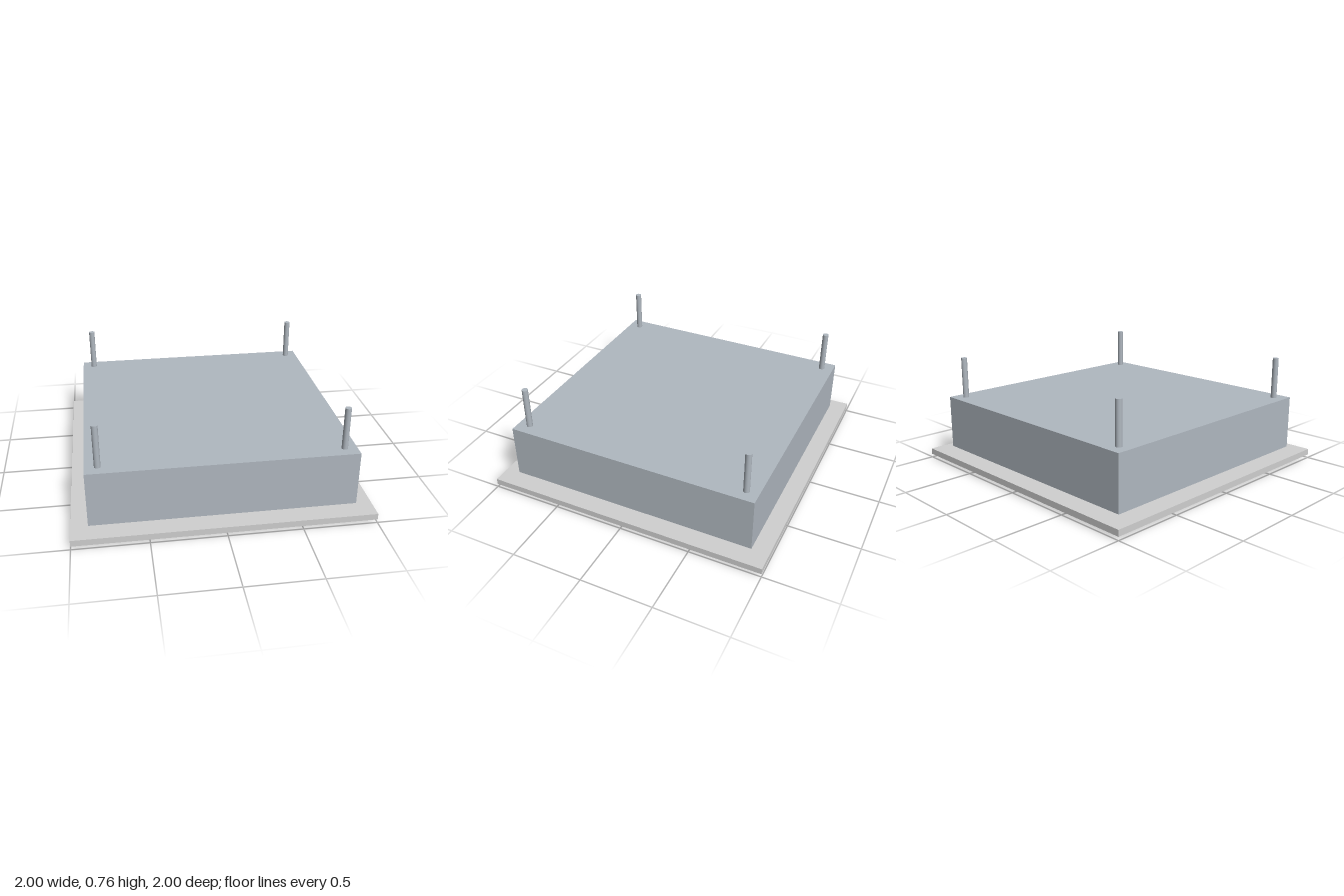
import * as THREE from 'three';

const mat = (name, color) => {
  const m = new THREE.MeshStandardMaterial({ color });
  m.name = name;
  return m;
};

export function createModel() {
  const group = new THREE.Group();
  const steel = mat('galvanised steel', 0xb0b8c0);
  const panelGrey = mat('panel grey', 0xd0d0d0);
  const dark = mat('dark grille', 0x62676f);
  const silver = mat('silver trim', 0xd8dce0);

  const add = (name, geometry, material, x, y, z) => {
    const mesh = new THREE.Mesh(geometry, material);
    mesh.name = name;
    mesh.position.set(x, y, z);
    group.add(mesh);
    return mesh;
  };

  // Ceiling housing and the wider face panel under it
  add('housing', new THREE.BoxGeometry(1.77, 0.38, 1.77), steel, 0, 0.278, 0);
  add('facePanel', new THREE.BoxGeometry(2, 0.043, 2), panelGrey, 0, 0.0455, 0);

  // Hanger rods at the four corners
  for (const x of [-0.8, 0.8]) {
    for (const z of [-0.8, 0.8]) {
      add('hangerRod', new THREE.CylinderGeometry(0.021, 0.021, 0.3, 24), steel, x, 0.612, z);
    }
  }

  // Fan base and inlet collar in the gap between housing and panel
  add('fanBase', new THREE.CylinderGeometry(0.69, 0.66, 0.012, 64), dark, 0, 0.084, 0);
  add('inletCollar', new THREE.CylinderGeometry(0.38, 0.38, 0.014, 64), dark, 0, 0.073, 0);

  // Round intake grille with two trim rings on the underside
  add('intakeGrille', new THREE.CylinderGeometry(0.505, 0.505, 0.006, 64), dark, 0, 0.024, 0);
  for (const radius of [0.335, 0.163]) {
    const ring = add('trimRing', new THREE.TorusGeometry(radius, 0.0125, 12, 64), silver, 0, 0.0125, 0);
    ring.rotation.x = Math.PI / 2;
  }

  return group;
}
